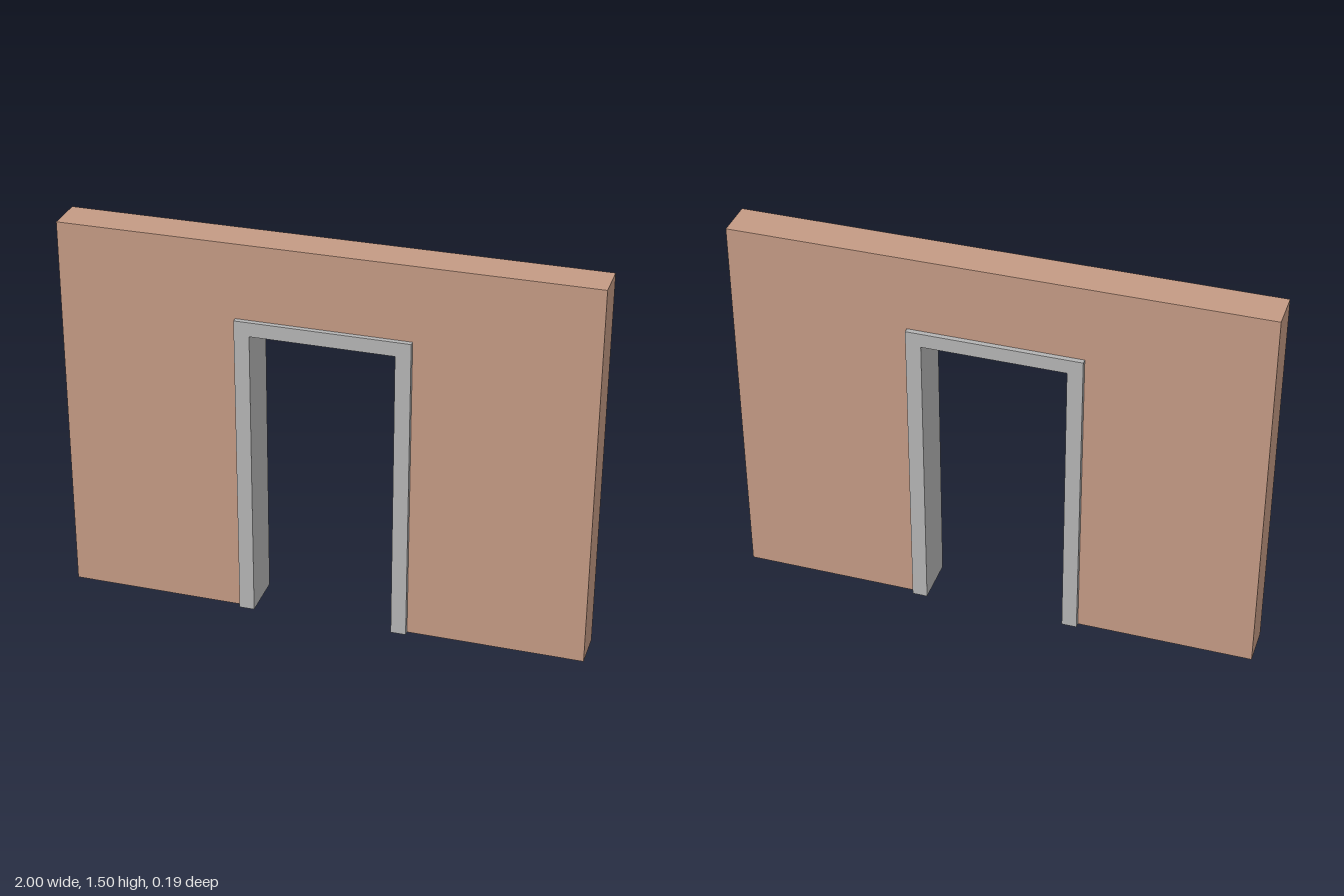
import * as THREE from 'three';

const WALL_DEPTH = 0.148, FRAME_DEPTH = 0.188;
const INNER = 0.27, OUTER = 0.328; // half widths of the doorway and its frame
const OPENING_TOP = 1.155, FRAME_TOP = 1.21;

export function createModel() {
  const group = new THREE.Group();
  const wallMat = new THREE.MeshStandardMaterial({ color: 0xc49a84 });
  const frameMat = new THREE.MeshStandardMaterial({ color: 0xb4b4b4 });

  const add = (name, geometry, material, x, y, z) => {
    const mesh = new THREE.Mesh(geometry, material);
    mesh.name = name;
    mesh.position.set(x, y, z);
    group.add(mesh);
  };

  // Wall slab with a doorway cut up from the floor
  const outline = new THREE.Shape([
    [-1, 0], [-OUTER, 0], [-OUTER, OPENING_TOP], [OUTER, OPENING_TOP],
    [OUTER, 0], [1, 0], [1, 1.5], [-1, 1.5],
  ].map(([x, y]) => new THREE.Vector2(x, y)));
  const wall = new THREE.ExtrudeGeometry(outline, { depth: WALL_DEPTH, bevelEnabled: false });
  add('wall', wall, wallMat, 0, 0, -WALL_DEPTH / 2);

  // Door jambs run the full depth; header trims sit proud of each wall face
  const jamb = new THREE.BoxGeometry(OUTER - INNER, OPENING_TOP, FRAME_DEPTH);
  const trimDepth = (FRAME_DEPTH - WALL_DEPTH) / 2;
  const header = new THREE.BoxGeometry(OUTER * 2, FRAME_TOP - OPENING_TOP, trimDepth);
  for (const s of [1, -1]) {
    add(s > 0 ? 'leftJamb' : 'rightJamb', jamb, frameMat,
      s * (INNER + OUTER) / 2, OPENING_TOP / 2, 0);
    add(s > 0 ? 'frontHeader' : 'backHeader', header, frameMat,
      0, (OPENING_TOP + FRAME_TOP) / 2, s * (WALL_DEPTH + trimDepth) / 2);
  }
  return group;
}
